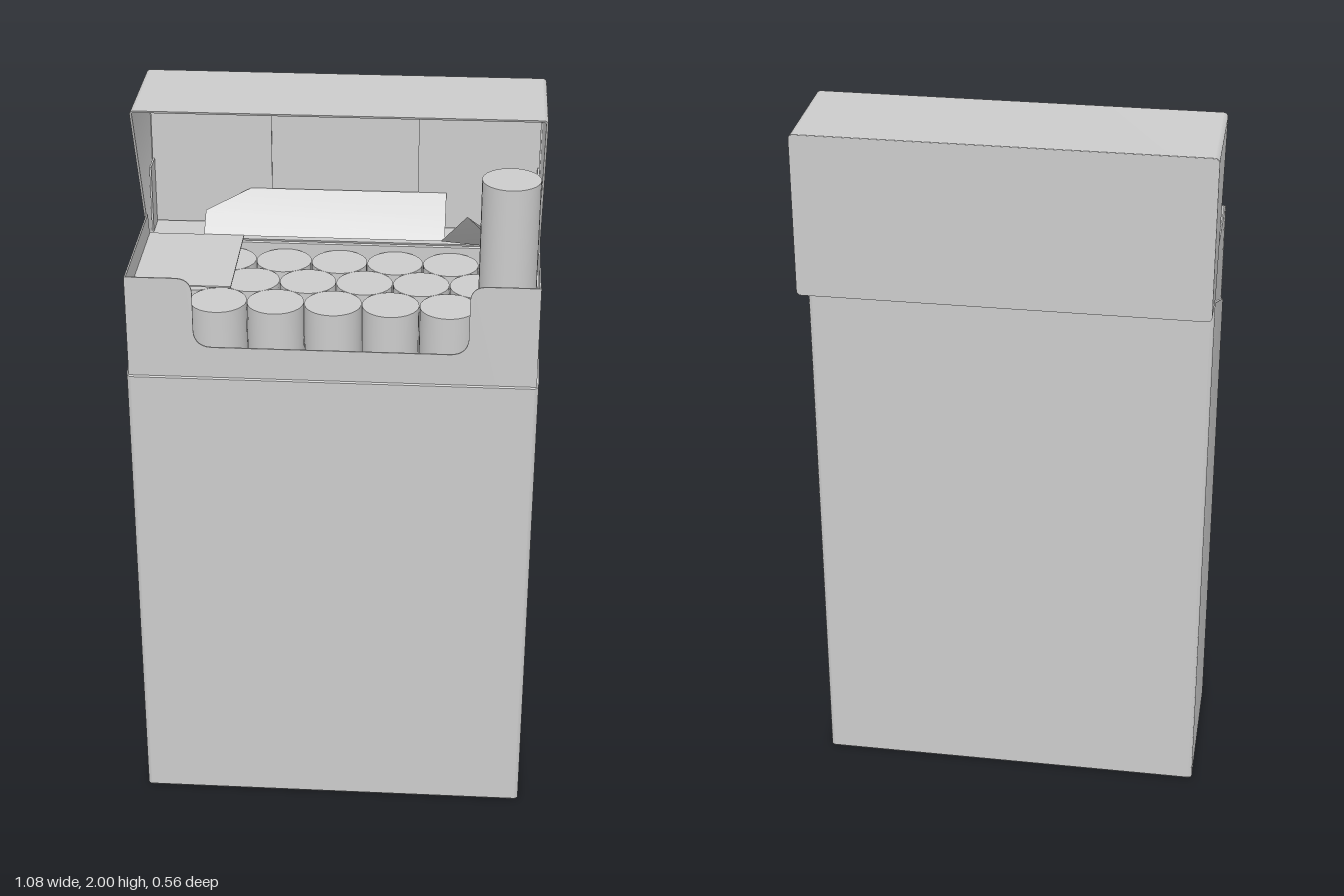
import * as THREE from 'three';
import { toCreasedNormals } from 'three/addons/utils/BufferGeometryUtils.js';

const card = new THREE.MeshStandardMaterial({ color: 0xcccccc, side: THREE.DoubleSide });
card.name = 'grey card';

const HW = 0.54, BACK = -0.165, FRONT = 0.28, WALL = 0.006;
const seamY = z => 1.35 + 0.2 * (FRONT - z) / (FRONT - BACK);

function add(parent, name, geometry, x = 0, y = 0, z = 0) {
  const mesh = new THREE.Mesh(geometry, card);
  mesh.name = name;
  mesh.position.set(x, y, z);
  parent.add(mesh);
  return mesh;
}

// Rounded rectangle footprint, inset from the outer walls
function footprint(Type, inset) {
  const r = 0.012 - inset, x = HW - inset, a = -FRONT + inset, b = -BACK - inset;
  const s = new Type();
  s.moveTo(-x + r, a);
  s.lineTo(x - r, a).absarc(x - r, a + r, r, -Math.PI / 2, 0);
  s.lineTo(x, b - r).absarc(x - r, b - r, r, 0, Math.PI / 2);
  s.lineTo(-x + r, b).absarc(-x + r, b - r, r, Math.PI / 2, Math.PI);
  s.lineTo(-x, a + r).absarc(-x + r, a + r, r, Math.PI, Math.PI * 1.5);
  return s;
}

// Upright extrusion whose bottom and top heights follow rules of z
function upright(shape, bottom, top) {
  const g = new THREE.ExtrudeGeometry(shape, { depth: 1, bevelEnabled: false, curveSegments: 4 });
  g.rotateX(-Math.PI / 2);
  const p = g.attributes.position;
  for (let i = 0; i < p.count; i++) {
    const z = p.getZ(i);
    p.setY(i, p.getY(i) > 0.5 ? top(z) : bottom(z));
  }
  return toCreasedNormals(g, 0.6);
}

function sleeve(bottom, top) {
  const s = footprint(THREE.Shape, 0);
  s.holes.push(footprint(THREE.Path, WALL));
  return upright(s, bottom, top);
}

// Surface through equal-length rows of points
function sheet(rows) {
  const n = rows[0].length, index = [];
  for (let i = 0; i < rows.length - 1; i++)
    for (let j = 0; j < n - 1; j++) {
      const a = i * n + j;
      index.push(a, a + 1, a + n, a + 1, a + n + 1, a + n);
    }
  const g = new THREE.BufferGeometry();
  g.setAttribute('position', new THREE.Float32BufferAttribute(rows.flat(2), 3));
  g.setIndex(index);
  g.computeVertexNormals();
  return g;
}

function makeLiner() {
  const liner = new THREE.Group();
  liner.name = 'innerFrame';
  // Front panel with a rounded finger opening
  const s = new THREE.Shape();
  s.moveTo(-0.535, 0.9);
  s.lineTo(0.535, 0.9);
  s.lineTo(0.535, 1.635);
  s.lineTo(0.40, 1.635);
  s.quadraticCurveTo(0.355, 1.635, 0.355, 1.59);
  s.lineTo(0.355, 1.49);
  s.quadraticCurveTo(0.355, 1.44, 0.305, 1.44);
  s.lineTo(-0.31, 1.44);
  s.quadraticCurveTo(-0.36, 1.44, -0.36, 1.49);
  s.lineTo(-0.36, 1.59);
  s.quadraticCurveTo(-0.36, 1.635, -0.405, 1.635);
  s.lineTo(-0.535, 1.635);
  add(liner, 'frameFront', new THREE.ExtrudeGeometry(s, { depth: 0.004, bevelEnabled: false }), 0, 0, 0.27);
  // Side panels with a small slot near the front edge
  const side = new THREE.Shape();
  side.moveTo(-0.272, 0.9);
  side.lineTo(0.155, 0.9);
  side.lineTo(0.155, 1.54);
  side.lineTo(0.13, 1.635);
  side.lineTo(-0.272, 1.635);
  const slot = new THREE.Path();
  slot.moveTo(-0.27, 1.495);
  slot.lineTo(-0.27, 1.585);
  slot.lineTo(-0.261, 1.575);
  slot.lineTo(-0.261, 1.505);
  side.holes.push(slot);
  const g = new THREE.ExtrudeGeometry(side, { depth: 0.004, bevelEnabled: false });
  g.rotateY(Math.PI / 2);
  for (const x of [-0.534, 0.53]) add(liner, 'frameSide', g, x);
  return liner;
}

function makeLid() {
  // Modelled closed, then swung back on its hinge
  const lid = new THREE.Group();
  lid.name = 'lid';
  const hinge = new THREE.Group();
  hinge.position.set(0, -1.55, -BACK);
  lid.add(hinge);
  add(hinge, 'lidWalls', sleeve(seamY, () => 1.664));
  add(hinge, 'lidTop', upright(footprint(THREE.Shape, 0.001), () => 1.659, () => 1.665));
  for (const s of [-1, 1]) {
    add(hinge, 'lidInnerFlap', new THREE.BoxGeometry(0.33, 0.006, 0.42), s * 0.366, 1.652, 0.055);
    add(hinge, 'lidCornerTab', new THREE.BoxGeometry(0.005, 0.07, 0.19), s * 0.528, 1.615, -0.065);
  }
  lid.position.set(0, 1.55, BACK);
  lid.rotation.x = -Math.PI / 2;
  return lid;
}

export function createModel() {
  const model = new THREE.Group();
  model.name = 'openCarton';

  // Outer box
  add(model, 'boxWalls', sleeve(() => 0.004, seamY));
  add(model, 'boxBase', upright(footprint(THREE.Shape, 0.004), () => 0, () => 0.008));
  for (const s of [-1, 1])
    add(model, 'baseFlap', new THREE.BoxGeometry(0.33, 0.006, 0.42), s * 0.366, 0.012, 0.055);
  model.add(makeLiner(), makeLid());

  // Three staggered rows of sticks, one pulled up
  const stick = new THREE.CylinderGeometry(0.075, 0.075, 1.5, 32);
  [7, 6, 7].forEach((count, row) => {
    for (let i = 0; i < count; i++) {
      const raised = row === 0 && i === 6;
      add(model, raised ? 'raisedStick' : 'stick', stick,
        (i - (count - 1) / 2) * 0.151 - 0.003, raised ? 1.14 : 0.78, 0.175 - row * 0.13);
    }
  });

  // Foil: flat fold on one side, back flap leaning into the lid, curled corner
  add(model, 'foilFold', new THREE.BoxGeometry(0.26, 0.004, 0.33), -0.4, 1.57, 0.015);
  add(model, 'foilBackFlap', sheet([
    [[-0.38, 1.57, -0.15], [0.28, 1.57, -0.15]],
    [[-0.38, 1.62, -0.205], [0.28, 1.62, -0.205]],
    [[-0.26, 1.665, -0.262], [0.28, 1.665, -0.262]],
  ]));
  add(model, 'foilCurl', sheet([
    [[0.53, 1.57, -0.15], [0.40, 1.575, -0.15], [0.27, 1.57, -0.15]],
    [[0.53, 1.58, -0.02], [0.43, 1.61, -0.03], [0.34, 1.70, -0.02]],
    [[0.53, 1.58, 0.06], [0.46, 1.61, 0.05], [0.41, 1.68, 0.05]],
    [[0.53, 1.57, 0.13], [0.525, 1.58, 0.13], [0.50, 1.61, 0.11]],
  ]));
  return model;
}
